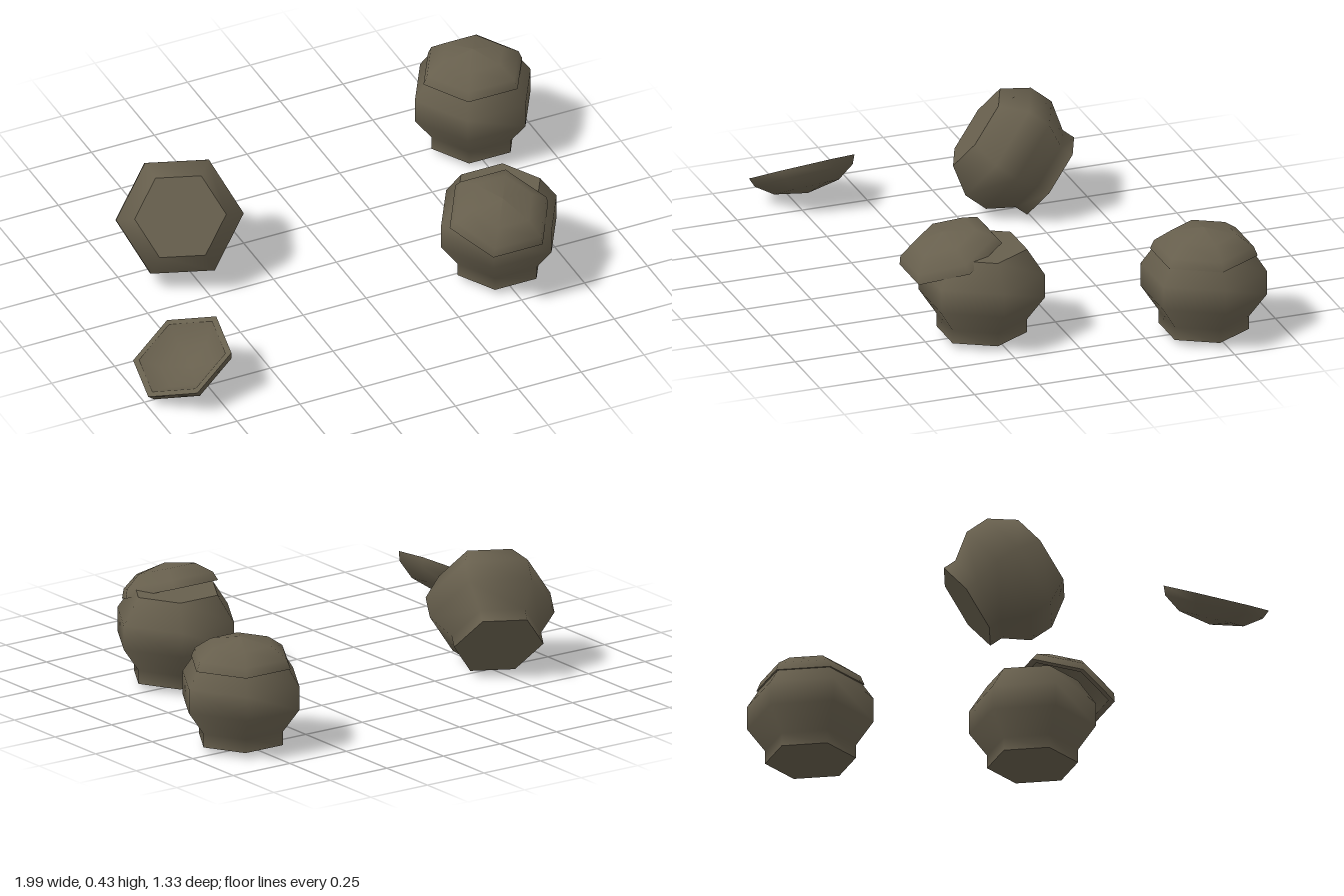
import * as THREE from 'three';

const clay = new THREE.MeshStandardMaterial({ color: 0x675f4d });
clay.name = 'darkClay';

// six-sided turned surface with corners on the x axis
function turned(name, profile) {
  const pts = profile.map(([r, y]) => new THREE.Vector2(r, y));
  const mesh = new THREE.Mesh(new THREE.LatheGeometry(pts, 6, Math.PI / 6), clay);
  mesh.name = name;
  return mesh;
}

// flat six-sided disc, facing up or down
function disc(name, radius, y, up) {
  const mesh = new THREE.Mesh(new THREE.CircleGeometry(radius, 6), clay);
  mesh.rotation.x = up ? -Math.PI / 2 : Math.PI / 2;
  mesh.position.y = y;
  mesh.name = name;
  return mesh;
}

function makePot(name) {
  const pot = new THREE.Group();
  pot.name = name;
  pot.add(
    turned('potWall', [[0.165, 0], [0.165, 0.05], [0.23, 0.14], [0.23, 0.23], [0.165, 0.325]]),
    disc('potBase', 0.165, 0, false),
    disc('potTop', 0.165, 0.325, true)
  );
  return pot;
}

function makeLid(name) {
  const lid = new THREE.Group();
  lid.name = name;
  lid.add(
    turned('lidDome', [[0.196, 0], [0.182, 0.033], [0.12, 0.076], [0, 0.098]]),
    turned('lidInside', [[0, 0.075], [0.105, 0.055], [0.172, 0]]),
    turned('lidRim', [[0.172, 0], [0.196, 0]])
  );
  return lid;
}

// turn an object so its axis points along up and one corner along side
function orient(object, up, side) {
  const y = new THREE.Vector3(...up).normalize();
  const x = new THREE.Vector3(...side);
  x.addScaledVector(y, -x.dot(y)).normalize();
  const z = new THREE.Vector3().crossVectors(x, y);
  object.quaternion.setFromRotationMatrix(new THREE.Matrix4().makeBasis(x, y, z));
}

export function createModel() {
  const model = new THREE.Group();
  model.name = 'clayPots';

  // closed pot
  const closedPot = makePot('closedPot');
  closedPot.position.set(0.765, 0.015, -0.47);
  const closedLid = makeLid('closedLid');
  closedLid.position.set(0.765, 0.305, -0.47);

  // pot with its lid slipping off
  const openPot = makePot('openPot');
  openPot.position.set(0.51, 0.015, 0.287);
  const slippedLid = makeLid('slippedLid');
  slippedLid.position.set(0.463, 0.307, 0.388);
  slippedLid.rotation.x = 0.345;

  // toppled pot
  const toppledPot = makePot('toppledPot');
  toppledPot.position.set(-0.464, 0.113, -0.346);
  orient(toppledPot, [-0.33, 0.57, 0.75], [0.149, 0.005, 0.062]);

  // lid lying upside down
  const fallenLid = makeLid('fallenLid');
  fallenLid.position.set(-0.835, 0.125, 0.47);
  orient(fallenLid, [0.458, -0.886, -0.068], [0.03, 0.03, -0.19]);

  model.add(closedPot, closedLid, openPot, slippedLid, toppledPot, fallenLid);
  return model;
}
